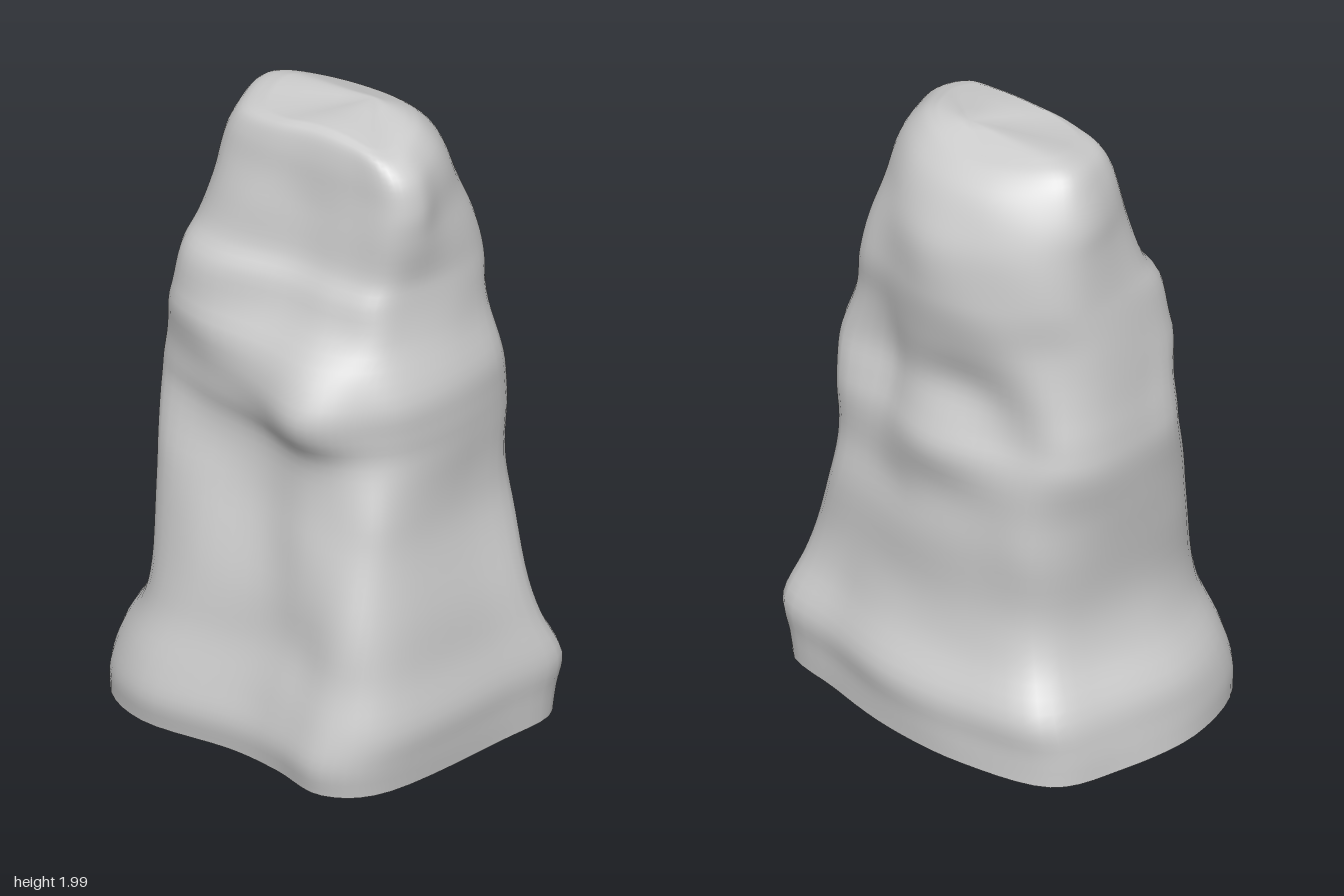
import * as THREE from 'three';

// Plan outlines [x, z] at key heights, running from the front centre round by +x
const outlines = [
  { y: 0.2, pts: [[0, .46], [.2, .475], [.4, .5], [.55, .35], [.61, -.1], [.62, -.37], [.37, -.44],
    [.1, -.5], [-.2, -.5], [-.5, -.43], [-.59, -.2], [-.63, .1], [-.53, .38], [-.32, .5]] },
  { y: 0.8, pts: [[0, .3], [.2, .33], [.38, .3], [.45, .18], [.46, -.1], [.43, -.33], [.25, -.37],
    [.05, -.41], [-.2, -.4], [-.38, -.36], [-.48, -.2], [-.5, .05], [-.45, .25], [-.25, .32]] },
  { y: 1.15, pts: [[0, .32], [.18, .35], [.32, .28], [.43, .16], [.47, -.1], [.42, -.33], [.22, -.35],
    [.02, -.38], [-.2, -.36], [-.4, -.33], [-.49, -.2], [-.5, .02], [-.47, .2], [-.25, .29]] },
  { y: 1.45, pts: [[0, .2], [.18, .2], [.32, .16], [.38, .05], [.41, -.15], [.36, -.33], [.2, -.37],
    [0, -.42], [-.2, -.39], [-.35, -.32], [-.45, -.18], [-.46, .03], [-.42, .2], [-.27, .26]] },
  { y: 1.8, pts: [[0, .11], [.18, .1], [.33, .09], [.39, 0], [.36, -.12], [.3, -.27], [.17, -.38],
    [0, -.43], [-.17, -.4], [-.33, -.31], [-.41, -.2], [-.4, -.05], [-.33, .09], [-.17, .13]] },
];

// Overall extents: y, xMin, xMax, zMin, zMax
const extents = [
  [0.005, -.63, .61, -.49, .485], [0.1, -.62, .62, -.495, .5], [0.21, -.595, .63, -.5, .475],
  [0.35, -.515, .59, -.435, .43], [0.5, -.48, .55, -.405, .4], [0.7, -.49, .485, -.41, .355],
  [0.85, -.505, .465, -.4, .32], [1.0, -.52, .47, -.4, .305], [1.1, -.51, .475, -.385, .325],
  [1.21, -.49, .47, -.37, .325], [1.35, -.47, .42, -.395, .27], [1.48, -.45, .395, -.42, .245],
  [1.57, -.435, .385, -.425, .19], [1.7, -.42, .39, -.42, .16], [1.8, -.41, .39, -.385, .135],
  [1.89, -.375, .365, -.335, .12], [1.95, -.325, .31, -.275, .1], [1.975, -.235, .245, -.225, .065],
];

// Local bulges and hollows: x, y, z, outward amount, radius, height
const bumps = [
  [.17, 1.14, .3, .05, .19, .11],
  [.1, 1.32, .26, .025, .2, .14],
  [.05, 1.73, .15, -.012, .16, .09],
  [-.23, .92, .32, -.012, .14, .1],
  [.16, .42, .42, -.012, .14, .1],
  [-.03, 1, -.4, .03, .17, .1],
  [-.08, 1.23, -.38, -.018, .14, .09],
  [-.3, 1.1, -.36, -.02, .13, .1],
  [.16, .78, -.39, -.018, .13, .1],
  [.23, 1.15, -.36, -.025, .09, .2],
];

const AROUND = 70, STEPS = 4;

function spline(points, closed) {
  return new THREE.CatmullRomCurve3(points, closed, 'catmullrom', 0.5);
}

// Outline curves sampled with matching indices so they can be blended
const sampled = outlines.map(({ pts }) => {
  const curve = spline(pts.map(([x, z]) => new THREE.Vector3(x, 0, z)), true);
  return Array.from({ length: AROUND }, (_, i) => curve.getPoint(i / AROUND));
});

function blendedOutline(y) {
  let k = 0;
  while (k < outlines.length - 2 && y > outlines[k + 1].y) k++;
  const t = THREE.MathUtils.smoothstep(y, outlines[k].y, outlines[k + 1].y);
  return sampled[k].map((p, i) => p.clone().lerp(sampled[k + 1][i], t));
}

// Push a surface point away from the rock's core by the nearby bumps
function sculpt(x, y, z) {
  let push = 0;
  for (const [bx, by, bz, amount, radius, height] of bumps) {
    const d = ((x - bx) ** 2 + (z - bz) ** 2) / radius ** 2 + ((y - by) / height) ** 2;
    push += amount * Math.exp(-d);
  }
  const dx = x * 0.5, dz = z + 0.05, len = Math.hypot(dx, dz);
  return [x + push * dx / len, y, z + push * dz / len];
}

// One ring: the blended outline fitted to the given extents
function ring(y, xMin, xMax, zMin, zMax) {
  const pts = blendedOutline(y);
  const box = new THREE.Box3().setFromPoints(pts);
  const fade = THREE.MathUtils.smoothstep(y, 1.85, 1.97);
  return pts.map((p, i) => {
    const a = i / AROUND * Math.PI * 2;
    // gentle weathered hollows and a slightly uneven crown
    const dent = 1 - 0.01 * (1 + Math.sin(5 * a + 7 * y) * Math.sin(6 * y + 2 * a));
    const lift = fade * 0.011 * Math.sin(3 * a + 1);
    const x = THREE.MathUtils.mapLinear(p.x, box.min.x, box.max.x, xMin, xMax);
    const z = THREE.MathUtils.mapLinear(p.z, box.min.z, box.max.z, zMin, zMax);
    return sculpt(x * dent, y + lift, z * dent);
  });
}

function rockGeometry() {
  const xs = spline(extents.map(e => new THREE.Vector3(e[0], e[1], e[2])), false);
  const zs = spline(extents.map(e => new THREE.Vector3(e[0], e[3], e[4])), false);
  const rows = (extents.length - 1) * STEPS;
  const pos = [], index = [];
  for (let r = 0; r <= rows; r++) {
    const a = xs.getPoint(r / rows), b = zs.getPoint(r / rows);
    ring(a.x, a.y, a.z, b.y, b.z).forEach(p => pos.push(...p));
  }
  // crown: shrink the last ring towards a low peak
  const last = pos.slice(-AROUND * 3), peak = [0.06, 1.997, -0.15];
  for (const s of [0.33, 0.67]) {
    for (let i = 0; i < last.length; i++) pos.push(THREE.MathUtils.lerp(last[i], peak[i % 3], s));
  }
  pos.push(...peak);
  const rings = rows + 3, tip = rings * AROUND;
  for (let r = 0; r < rings; r++) {
    for (let i = 0; i < AROUND; i++) {
      const j = (i + 1) % AROUND, a = r * AROUND + i, b = r * AROUND + j;
      if (r === rings - 1) index.push(a, b, tip);
      else index.push(a, b, b + AROUND, a, b + AROUND, a + AROUND);
    }
  }
  const geo = new THREE.BufferGeometry();
  geo.setAttribute('position', new THREE.Float32BufferAttribute(pos, 3));
  geo.setIndex(index);
  geo.computeVertexNormals();
  return geo;
}

export function createModel() {
  const group = new THREE.Group();
  group.name = 'standingRock';
  // Hollow shell, open underneath
  const rock = new THREE.Mesh(rockGeometry(),
    new THREE.MeshStandardMaterial({ color: 0xcccccc, side: THREE.DoubleSide }));
  rock.name = 'rock';
  group.add(rock);
  return group;
}
